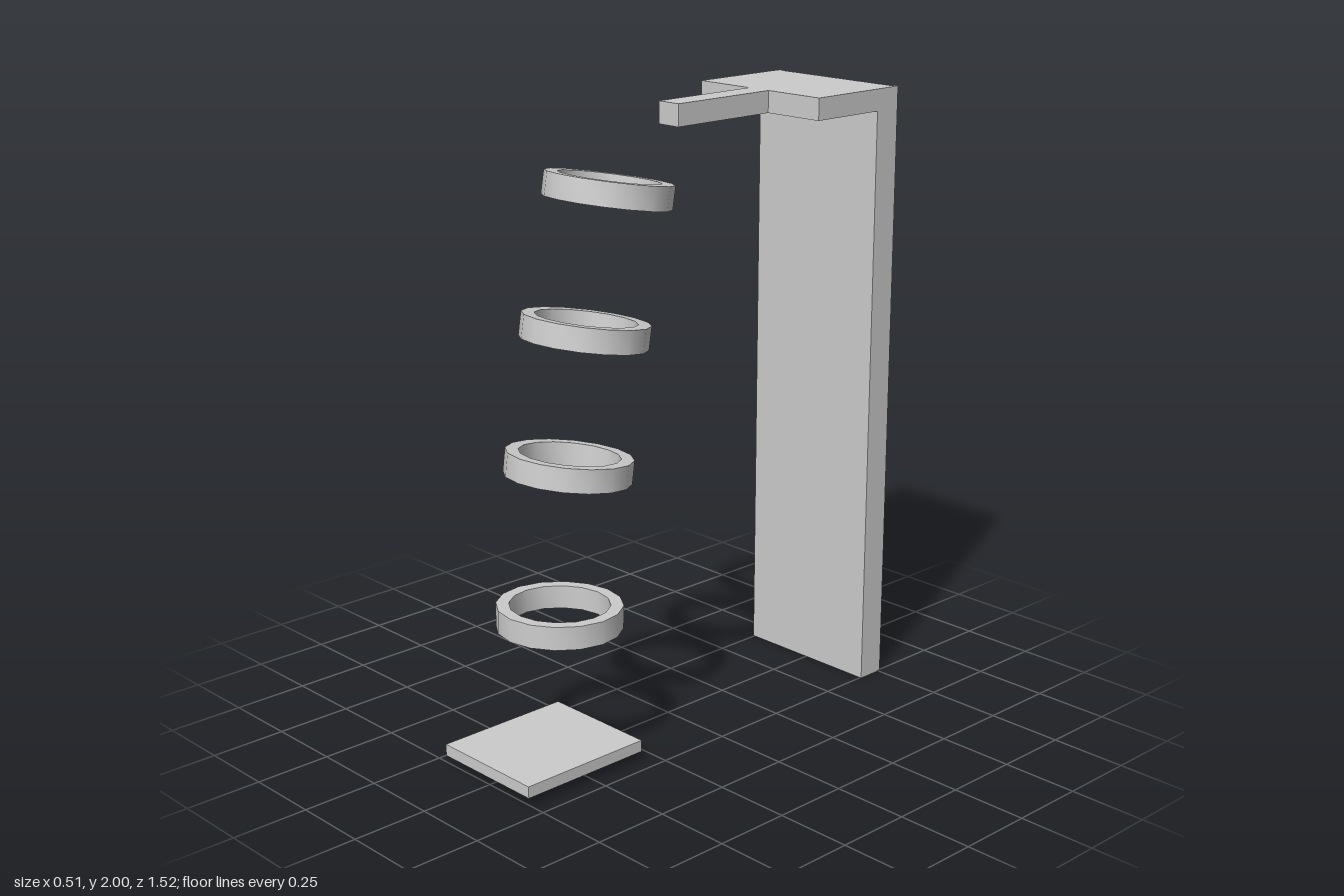
import * as THREE from 'three';
import { toCreasedNormals } from 'three/addons/utils/BufferGeometryUtils.js';

const material = new THREE.MeshStandardMaterial({ color: 0xcccccc });

// Box given by its extents along each axis
function box(name, [x0, x1], [y0, y1], [z0, z1]) {
  const mesh = new THREE.Mesh(new THREE.BoxGeometry(x1 - x0, y1 - y0, z1 - z0), material);
  mesh.position.set((x0 + x1) / 2, (y0 + y1) / 2, (z0 + z1) / 2);
  mesh.name = name;
  return mesh;
}

// Flat-walled ring, smooth around and sharp at the rims
function ringGeometry(outer, inner, height) {
  const h = height / 2;
  const profile = [[inner, -h], [outer, -h], [outer, h], [inner, h], [inner, -h]]
    .map(([x, y]) => new THREE.Vector2(x, y));
  return toCreasedNormals(new THREE.LatheGeometry(profile, 16), 0.6);
}

export function createModel() {
  const model = new THREE.Group();
  model.name = 'ringTower';

  // Upright column with overhanging top and a narrow arm
  model.add(
    box('column', [-0.255, 0.255], [0, 1.93], [-0.745, -0.662]),
    box('topSlab', [-0.255, 0.255], [1.93, 2], [-0.745, -0.39]),
    box('arm', [-0.042, 0.042], [1.93, 2], [-0.39, -0.002]),
  );

  // Back panel held between two thin edge strips
  model.add(box('backPanel', [-0.24, 0.24], [0.006, 1.994], [-0.755, -0.745]));
  for (const [name, x] of [['leftStrip', 0.246], ['rightStrip', -0.246]]) {
    model.add(box(name, [x - 0.006, x + 0.006], [0, 2], [-0.76, -0.745]));
  }

  // Floating rings, tilting more toward the top
  const geometry = ringGeometry(0.197, 0.157, 0.074);
  const rings = [[0.472, 0.457, 1.5], [0.945, 0.412, 8], [1.354, 0.34, 9.5], [1.767, 0.242, 10]];
  rings.forEach(([y, z, tilt], i) => {
    const ring = new THREE.Mesh(geometry, material);
    ring.position.set(-0.003, y, z);
    ring.rotation.x = -THREE.MathUtils.degToRad(tilt);
    ring.name = `ring${i + 1}`;
    model.add(ring);
  });

  // Base plate below the rings
  model.add(box('basePlate', [-0.2, 0.197], [0.03, 0.068], [0.302, 0.76]));
  return model;
}
